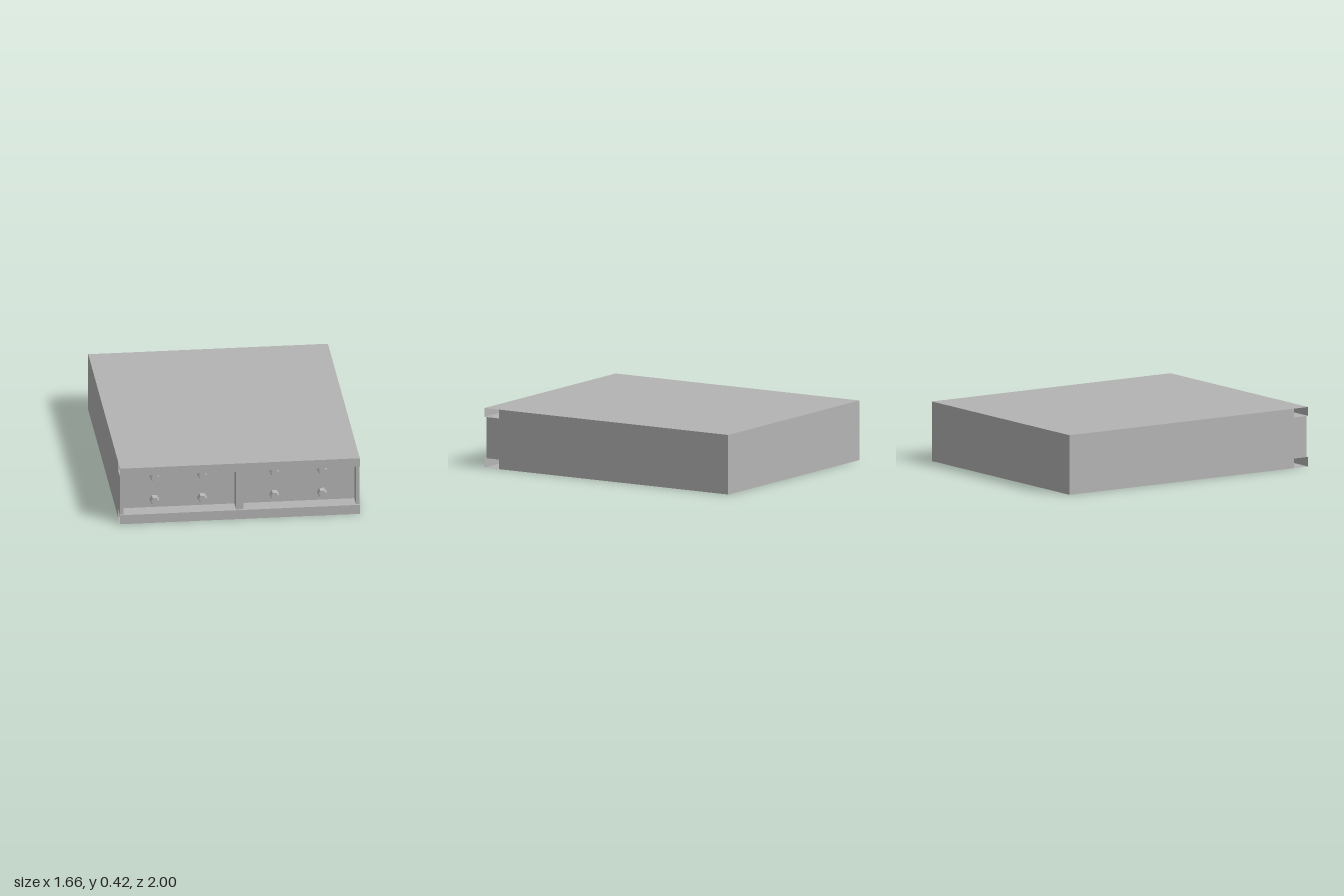
import * as THREE from 'three';

const W = 1.66, H = 0.416, WEB_Z = 0.88, BACK_Z = -1, FRONT_Z = 1;
const FLANGE_LOW = 0.067, FLANGE_HIGH = 0.354;

export function createModel() {
  const model = new THREE.Group();
  model.name = 'boltedBlock';

  const grey = new THREE.MeshStandardMaterial({ color: 0xb4b4b4, side: THREE.DoubleSide });
  grey.name = 'plain grey';

  const add = (name, geometry, x, y, z, parent = model) => {
    const mesh = new THREE.Mesh(geometry, grey);
    mesh.name = name;
    mesh.position.set(x, y, z);
    parent.add(mesh);
    return mesh;
  };

  // Main block; its front face is the recessed web
  const depth = WEB_Z - BACK_Z;
  add('body', new THREE.BoxGeometry(W, H, depth), 0, H / 2, (WEB_Z + BACK_Z) / 2);

  // Hollow flanges, open at both ends, along the top and bottom of the front
  const reach = FRONT_Z - WEB_Z, midZ = (FRONT_Z + WEB_Z) / 2;
  const addFlange = (name, y0, y1) => {
    const flange = new THREE.Group();
    flange.name = name;
    add(name + 'Front', new THREE.PlaneGeometry(W, y1 - y0), 0, (y0 + y1) / 2, FRONT_Z, flange);
    add(name + 'Upper', new THREE.PlaneGeometry(W, reach).rotateX(-Math.PI / 2), 0, y1, midZ, flange);
    add(name + 'Lower', new THREE.PlaneGeometry(W, reach).rotateX(Math.PI / 2), 0, y0, midZ, flange);
    model.add(flange);
  };
  addFlange('bottomFlange', 0, FLANGE_LOW);
  addFlange('topFlange', FLANGE_HIGH, H);

  // Upright stiffeners between the flanges: two at the ends and one in the middle
  const ribDepth = 0.105, ribY = (FLANGE_LOW + FLANGE_HIGH) / 2;
  const addRib = (name, x, width) =>
    add(name, new THREE.BoxGeometry(width, FLANGE_HIGH - FLANGE_LOW, ribDepth), x, ribY, WEB_Z + ribDepth / 2);
  addRib('middleStiffener', 0, 0.05);
  addRib('leftStiffener', W / 2 - 0.0125, 0.025);
  addRib('rightStiffener', -W / 2 + 0.0125, 0.025);

  // Tapered hexagonal bolt heads, points to the sides
  const boltDepth = 0.035;
  const boltGeometry = new THREE.CylinderGeometry(0.026, 0.035, boltDepth, 6)
    .rotateY(Math.PI / 6).rotateX(Math.PI / 2).toNonIndexed();
  boltGeometry.computeVertexNormals();
  for (const x of [-0.58, -0.25, 0.25, 0.58])
    for (const y of [0.125, 0.3])
      add('bolt', boltGeometry, x, y, WEB_Z + boltDepth / 2);

  return model;
}
